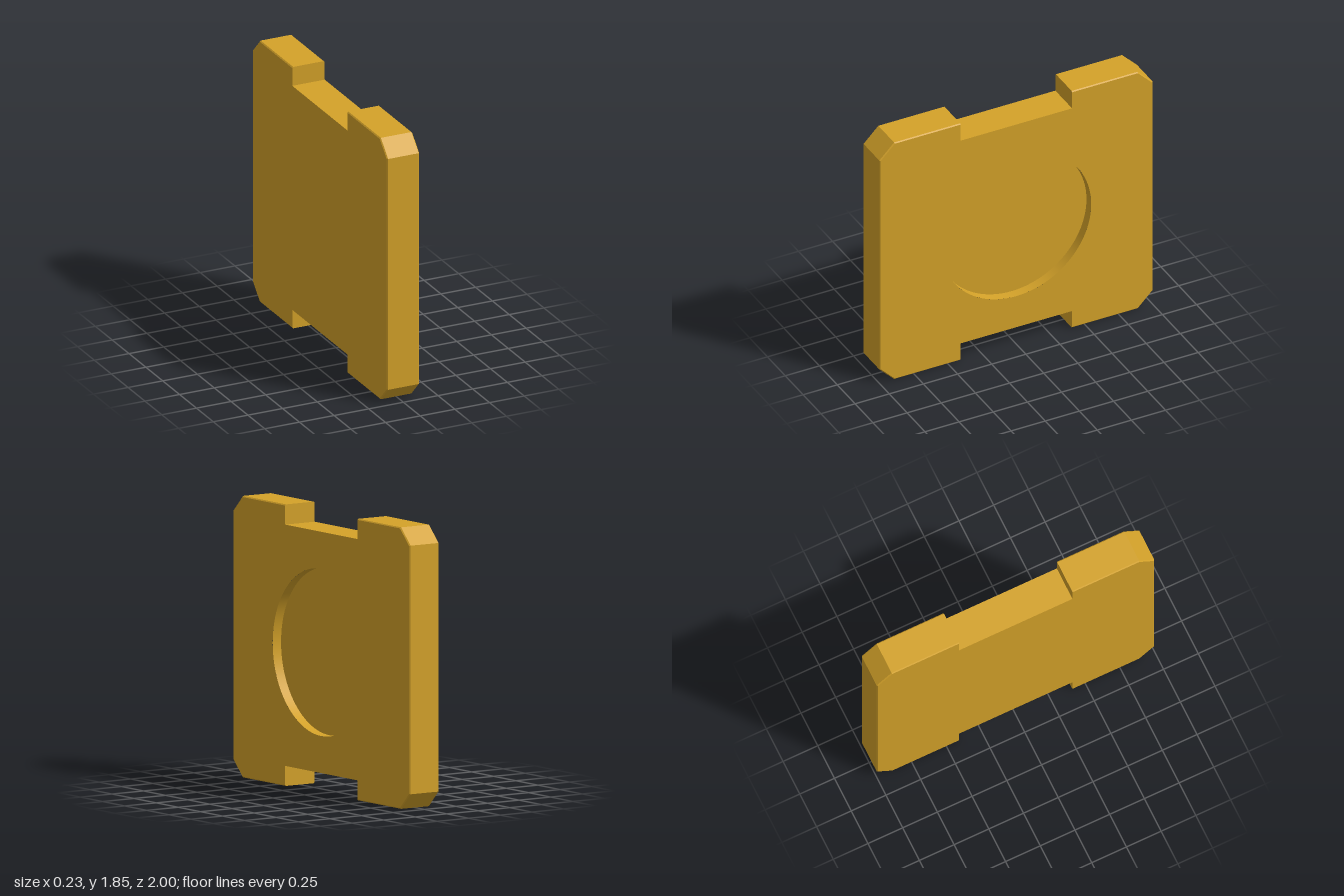
import * as THREE from 'three';

const HALF_HEIGHT = 0.9225, HALF_THICK = 0.117, BEVEL = 0.007;
const RADIUS = 0.548, DEPTH = 0.066;

// Plate outline, counter-clockwise: cut corners, notch at top and bottom.
// The inset shrinks the outer edges but leaves the notches as they are.
function outline(inset) {
  const w = 1 - inset, h = HALF_HEIGHT - inset;
  const cut = 0.108 - inset * (2 - Math.SQRT2);
  const nw = 0.408, nh = HALF_HEIGHT - 0.132;
  const half = [
    [w, -h + cut], [w, h - cut], [w - cut, h],
    [nw, h], [nw, nh], [-nw, nh], [-nw, h], [-w + cut, h],
  ];
  return [...half, ...half.map(([x, y]) => [-x, -y])].map(([x, y]) => new THREE.Vector2(x, y));
}

// Side walls joining successive cross-sections
function wallGeometry(sections) {
  const pos = [];
  for (let s = 0; s < sections.length - 1; s++) {
    const a = sections[s], b = sections[s + 1], n = a.points.length;
    for (let i = 0; i < n; i++) {
      const j = (i + 1) % n;
      const corner = (c, k) => [c.points[k].x, c.points[k].y, c.z];
      const [p, q, r, t] = [corner(a, i), corner(a, j), corner(b, j), corner(b, i)];
      pos.push(...p, ...q, ...r, ...p, ...r, ...t);
    }
  }
  const geo = new THREE.BufferGeometry();
  geo.setAttribute('position', new THREE.Float32BufferAttribute(pos, 3));
  geo.computeVertexNormals();
  return geo;
}

export function createModel() {
  const model = new THREE.Group();
  model.name = 'notchedPlate';
  const gold = new THREE.MeshStandardMaterial({ color: 0xd4a229 });
  const inner = gold.clone();
  inner.side = THREE.BackSide;

  // Drawn facing +z, then turned so the recess faces +x
  const plate = new THREE.Group();
  plate.name = 'plate';
  plate.rotation.y = Math.PI / 2;
  plate.position.y = HALF_HEIGHT;
  model.add(plate);

  const add = (name, geo, material = gold) => {
    const mesh = new THREE.Mesh(geo, material);
    mesh.name = name;
    plate.add(mesh);
    return mesh;
  };

  // Rim with a fine bevel on both faces
  const small = outline(BEVEL), full = outline(0);
  add('rim', wallGeometry([
    { points: small, z: -HALF_THICK },
    { points: full, z: -HALF_THICK + BEVEL },
    { points: full, z: HALF_THICK - BEVEL },
    { points: small, z: HALF_THICK },
  ]));

  // Plain face
  const plain = add('plainFace', new THREE.ShapeGeometry(new THREE.Shape(small)));
  plain.rotation.y = Math.PI;
  plain.position.z = -HALF_THICK;

  // Recessed face with round opening
  const segments = 96;
  const faceShape = new THREE.Shape(small);
  faceShape.holes.push(new THREE.Path().absarc(0, 0, RADIUS, 0, Math.PI * 2, true));
  add('recessedFace', new THREE.ShapeGeometry(faceShape, segments)).position.z = HALF_THICK;

  // Round recess
  const wall = new THREE.CylinderGeometry(RADIUS, RADIUS, DEPTH, segments, 1, true);
  wall.rotateX(Math.PI / 2);
  add('recessWall', wall, inner).position.z = HALF_THICK - DEPTH / 2;
  add('recessFloor', new THREE.CircleGeometry(RADIUS, segments)).position.z = HALF_THICK - DEPTH;

  return model;
}
